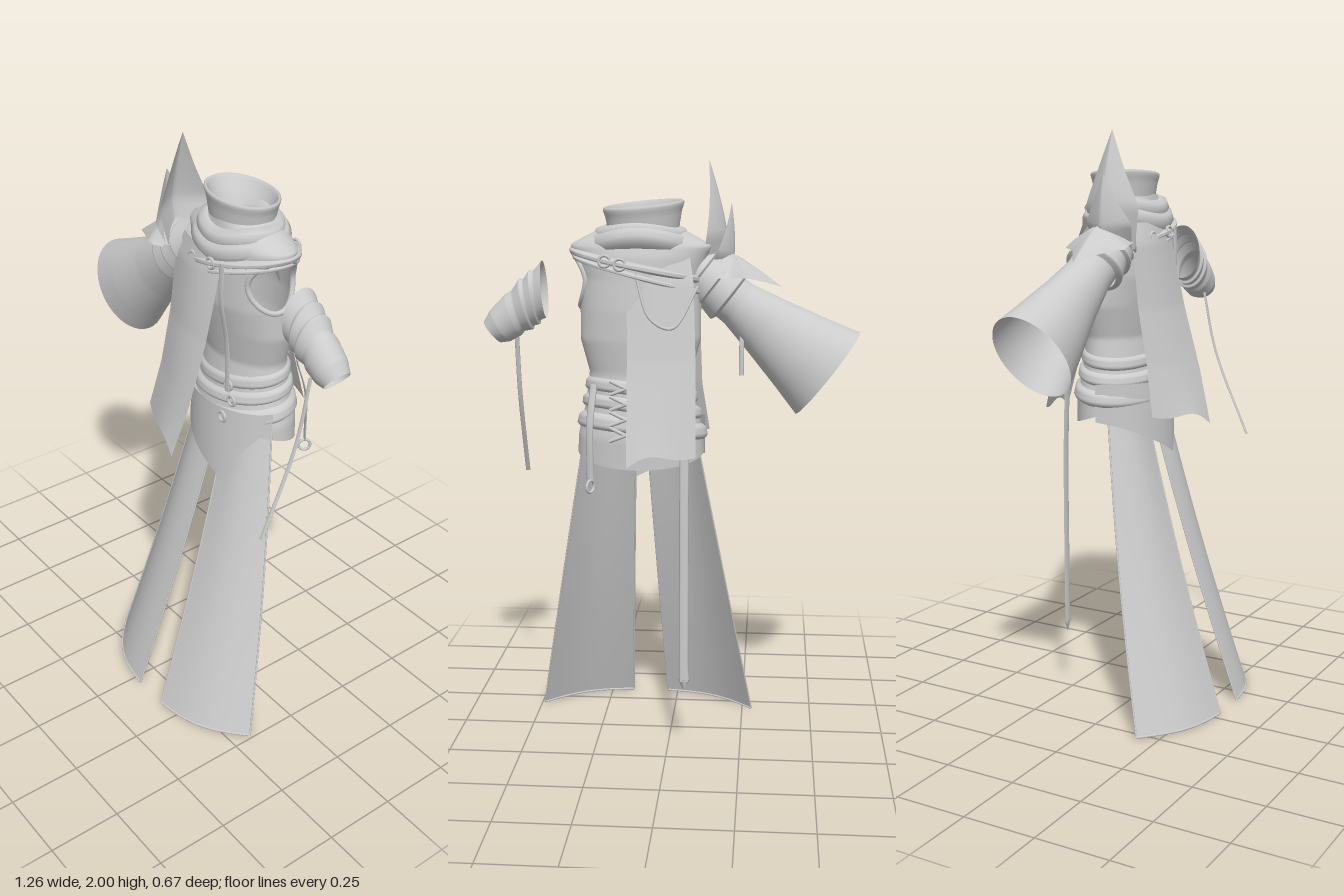
import * as THREE from 'three';
import { mergeVertices } from 'three/addons/utils/BufferGeometryUtils.js';
import { ParametricGeometry } from 'three/addons/geometries/ParametricGeometry.js';

const { lerp } = THREE.MathUtils;
const V = (x, y, z) => new THREE.Vector3(x, y, z);
const cloth = new THREE.MeshStandardMaterial({ color: 0xcccccc, side: THREE.DoubleSide });
const CX = 0.095, TAU = Math.PI * 2;

// linear lookup in rows [key, a, b, ...] sorted by rising key
function sample(rows, k) {
  let i = 0;
  while (i < rows.length - 2 && k > rows[i + 1][0]) i++;
  const a = rows[i], b = rows[i + 1];
  const t = THREE.MathUtils.clamp((k - a[0]) / (b[0] - a[0]), 0, 1);
  return a.map((q, j) => lerp(q, b[j], t));
}

// torso outline: y, half width, z centre, half depth
const BODY = [
  [1.0, 0.215, -0.085, 0.14], [1.1, 0.21, -0.085, 0.142], [1.2, 0.185, -0.088, 0.12],
  [1.31, 0.17, -0.09, 0.105], [1.42, 0.2, -0.085, 0.12], [1.52, 0.2, -0.075, 0.13],
  [1.62, 0.2, -0.07, 0.125], [1.69, 0.22, -0.07, 0.12], [1.725, 0.235, -0.068, 0.11],
  [1.75, 0.19, -0.067, 0.1], [1.79, 0.11, -0.065, 0.09],
];
function onBody(y, ang, off = 0) {
  const [, rx, cz, rz] = sample(BODY, y);
  return V(CX + (rx + off) * Math.cos(ang), y, cz + (rz + off) * Math.sin(ang));
}
function frontZ(x, y, off = 0, side = 1) {
  const [, rx, cz, rz] = sample(BODY, y);
  const k = Math.min(1, Math.abs((x - CX) / rx));
  return cz + side * (rz * Math.sqrt(1 - k * k) + off);
}

export function createModel() {
  const group = new THREE.Group();
  const add = (name, geo) => {
    const mesh = new THREE.Mesh(geo, cloth);
    mesh.name = name;
    group.add(mesh);
    return mesh;
  };
  // smooth surface from a rule (u, v) -> point
  const sheet = (name, nu, nv, rule) => {
    const raw = new ParametricGeometry((u, v, t) => t.copy(rule(u, v)), nu, nv);
    raw.deleteAttribute('uv');
    raw.deleteAttribute('normal');
    const geo = mergeVertices(raw, 1e-5);
    geo.computeVertexNormals();
    return add(name, geo);
  };
  const cord = (name, pts, r, closed = false) =>
    add(name, new THREE.TubeGeometry(new THREE.CatmullRomCurve3(pts, closed), 48, r, 8, closed));
  // flat strap with a thin oval section
  const strap = (name, pts, across) => {
    const path = new THREE.CatmullRomCurve3(pts);
    return sheet(name, 8, 24, (u, v) => path.getPoint(v)
      .addScaledVector(across, 0.5 * Math.cos(u * TAU)).add(V(0, 0, 0.003 * Math.sin(u * TAU))));
  };
  const ring = (name, p, r, tube, yaw = 0) => {
    const m = add(name, new THREE.TorusGeometry(r, tube, 8, 20));
    m.position.copy(p);
    m.rotation.y = yaw;
  };
  // sleeve along an axis in the xy plane; rows: t, in-plane radius, z radius; skew slants the first rim
  const sleeve = (name, a, b, rows, skew = 0) => {
    const d = b.clone().sub(a).normalize(), e = V(-d.y, d.x, 0);
    return sheet(name, 40, 60, (u, v) => {
      const [, re, rz] = sample(rows, v), g = u * TAU;
      return a.clone().lerp(b, v).addScaledVector(e, re * Math.cos(g))
        .addScaledVector(d, -skew * (1 - v) * Math.cos(g)).add(V(0, 0, rz * Math.sin(g)));
    });
  };

  // vest with the open armhole on the left
  const vest = sheet('vest', 112, 72, (u, v) => {
    const g = -u * TAU;
    return onBody(lerp(1.045 + 0.045 * Math.sin(g), 1.79, v), g);
  });
  const pos = vest.geometry.attributes.position, keep = [], idx = vest.geometry.index.array;
  const inHole = (i) => pos.getX(i) > 0.2 &&
    ((pos.getZ(i) + 0.055) / 0.075) ** 2 + ((pos.getY(i) - 1.615) / 0.095) ** 2 < 1;
  for (let i = 0; i < idx.length; i += 3) {
    const tri = [idx[i], idx[i + 1], idx[i + 2]];
    if (!tri.every(inHole)) keep.push(...tri);
  }
  vest.geometry.setIndex(keep);
  const rim = [];
  for (let i = 0; i < 32; i++) {
    const g = i / 32 * TAU, y = 1.615 + 0.095 * Math.sin(g), z = -0.055 + 0.075 * Math.cos(g);
    const [, rx, cz, rz] = sample(BODY, y);
    rim.push(V(CX + rx * Math.sqrt(1 - ((z - cz) / rz) ** 2), y, z));
  }
  cord('armholeRim', rim, 0.009, true);

  // standing collar with an inner wall, and the folded cowl below it
  const COLLAR = [[0, 1.73, 0.125, 0.105], [0.2, 1.78, 0.117, 0.097], [0.42, 1.835, 0.125, 0.105],
    [0.52, 1.867, 0.135, 0.113], [0.58, 1.873, 0.126, 0.104], [0.8, 1.82, 0.1, 0.083], [1, 1.75, 0.072, 0.058]];
  sheet('collar', 48, 30, (u, v) => {
    const [, y, rx, rz] = sample(COLLAR, v), g = -u * TAU;
    const inner = Math.max(0, v - 0.58) / 0.42;
    return V(0.085 + 0.012 * inner + rx * Math.cos(g),
      y - 0.012 * (1 + Math.cos(g) - 0.6 * Math.sin(g)) * Math.min(1, v * 2),
      -0.073 + 0.01 * inner + rz * Math.sin(g));
  });
  const cowl = (rx, rz, y, drop) => Array.from({ length: 24 }, (_, i) => {
    const g = i / 24 * TAU;
    return V(CX + rx * Math.cos(g), y - drop * Math.sin(g) + 0.006 * Math.sin(3 * g), -0.062 + rz * Math.sin(g));
  });
  cord('cowlUpperFold', cowl(0.125, 0.095, 1.755, 0.012), 0.033, true);
  cord('cowlLowerFold', cowl(0.14, 0.105, 1.725, 0.022), 0.038, true);

  // wrapped belts follow the body with a rounded section, pulled tight at the sides
  const belt = (name, yAt, h, off, sideSlack = 1) => sheet(name, 72, 8, (u, v) => {
    const g = -u * TAU, o = off * lerp(1, sideSlack, Math.cos(g) ** 2);
    return onBody(yAt(g) + (v - 0.5) * h, g, o * Math.min(1, 5 * Math.min(v, 1 - v)) - 0.001);
  });
  [[1.25, 0.045, 0.01], [1.195, 0.045, 0.013], [1.13, 0.055, 0.015]].forEach(([y, h, o], i) =>
    belt('waistBelt' + (i + 1), (g) => y + 0.02 * Math.cos(g) - 0.016 * Math.sin(g), h, o));
  belt('chestHarness', (g) => 1.66 + 0.045 * Math.cos(g), 0.026, 0.032, 0.3);
  belt('chestHarnessLower', (g) => 1.63 + 0.055 * Math.cos(g), 0.018, 0.026, 0.3);

  // buckles on the belts and harness
  [[0.17, 1.24], [0.19, 1.19], [0.17, 1.13], [0.02, 1.65], [0.12, 1.665]].forEach(([x, y]) =>
    ring('buckle', V(x, y, frontZ(x, y, 0.026)), 0.017, 0.005));
  [[0.2, 1.68], [0.15, 1.67]].forEach(([x, y]) => ring('backBuckle', V(x, y, frontZ(x, y, 0.026, -1)), 0.018, 0.005));

  // front and back tabards, flaring away from the body
  const tabard = (name, side, rows) => sheet(name, 20, 40, (u, v) => {
    const [, xl, xr, zl, zr, yl, yr] = sample(rows, v);
    const wave = v ** 6 * (0.02 * Math.sin(u * Math.PI) - 0.012 * Math.sin(u * TAU));
    return V(lerp(xl, xr, u), lerp(yl, yr, u) + wave,
      lerp(zl, zr, u) + side * 0.022 * Math.sin(u * Math.PI) * (1 - 0.6 * v));
  });
  tabard('frontTabard', 1, [
    [0, -0.07, 0.155, 0.035, 0.05, 1.7, 1.7], [0.1, -0.09, 0.155, 0.055, 0.07, 1.63, 1.63],
    [0.45, -0.095, 0.155, 0.08, 0.122, 1.42, 1.41], [0.75, -0.1, 0.15, 0.115, 0.185, 1.24, 1.2],
    [1, -0.125, 0.125, 0.15, 0.24, 1.07, 1.015]]);
  tabard('backTabard', -1, [
    [0, -0.07, 0.13, -0.145, -0.155, 1.7, 1.7], [0.15, -0.085, 0.13, -0.172, -0.182, 1.61, 1.61],
    [0.55, -0.095, 0.125, -0.215, -0.24, 1.36, 1.36], [1, -0.1, 0.12, -0.285, -0.335, 1.06, 1.03]]);

  // pointed apron under the belts
  sheet('apronFlap', 24, 12, (u, v) => {
    const x = lerp(-0.12, 0.3, u), peak = u < 0.667 ? u / 0.667 : (1 - u) / 0.333;
    const hem = u < 0.667 ? lerp(1.03, 0.895, peak) : lerp(1.1, 0.895, peak);
    return V(x, lerp(1.16, hem, v), frontZ(x, 1.1, 0.012) + 0.014 * peak * v);
  });

  // two long skirt panels, mirrored about the body
  for (const s of [-1, 1]) {
    const edge = (u, v) => {
      const bow = Math.sin(u * Math.PI) * lerp(0.025, 0.035, v);
      return V(CX + 0.008 + s * (lerp(lerp(0.018, 0.19, u), lerp(0.066, 0.387, u), v) + bow * 0.4),
        lerp(1.09, 0.008, v), lerp(0.335 * v, -0.045 + 0.225 * v, u) + bow - 0.012 * Math.sin(v * Math.PI));
    };
    const side = s > 0 ? 'left' : 'right';
    sheet(side + 'SkirtPanel', 20, 30, edge);
    const trim = [];
    for (let i = 0; i <= 12; i++) trim.push(edge(i / 12, 1));
    cord(side + 'SkirtHem', trim, 0.004);
    [0, 1].forEach((u) => cord(side + 'SkirtEdge', [0, 0.25, 0.5, 0.75, 1].map((v) => edge(u, v)), 0.003));
  }

  // wide bell sleeve on the right arm
  sleeve('bellSleeve', V(-0.13, 1.605, -0.03), V(-0.525, 1.305, -0.055),
    [[0, 0.075, 0.08], [0.25, 0.08, 0.078], [0.5, 0.108, 0.09], [0.8, 0.145, 0.115], [1, 0.172, 0.127]]);
  sleeve('shoulderBands', V(-0.06, 1.66, -0.03), V(-0.2, 1.55, -0.03),
    [[0, 0.06, 0.08], [0.28, 0.088, 0.1], [0.3, 0.078, 0.09], [0.6, 0.095, 0.103], [0.62, 0.082, 0.09],
      [0.95, 0.096, 0.1], [1, 0.08, 0.08]]);

  // overlapping leaf-shaped shoulder plates with a raised ridge
  const plate = (name, base, tip, half, out, bend) => sheet(name, 16, 20, (u, v) => {
    const c = 2 * u - 1;
    const w = half * sample([[0, 0.75], [0.36, 1], [0.65, 0.52], [1, 0]], v)[1];
    return base.clone().lerp(tip, v).add(V(0, 0, c * w))
      .addScaledVector(out, (1 - Math.abs(c)) * w * 0.45 + bend * Math.sin(v * Math.PI) - 0.03 * (1 - v) * c * c);
  });
  plate('tallShoulderPlate', V(-0.13, 1.62, -0.005), V(-0.125, 2.0, 0), 0.1, V(-1, 0.1, 0), 0.015);
  plate('middleShoulderPlate', V(-0.14, 1.61, 0), V(-0.2, 1.86, 0.01), 0.085, V(-0.95, -0.2, 0), 0.015);
  plate('outerShoulderPlate', V(-0.1, 1.67, -0.015), V(-0.37, 1.585, 0), 0.105, V(-0.3, 0.95, 0), 0.01);
  plate('lowerShoulderPlate', V(-0.13, 1.65, -0.03), V(-0.31, 1.61, -0.02), 0.115, V(-0.2, 0.98, 0), 0.005);

  // separate left bracer with stepped plates and a slanted upper rim
  sleeve('leftBracer', V(0.425, 1.575, -0.03), V(0.603, 1.43, -0.03),
    [[0, 0.078, 0.07], [0.16, 0.07, 0.06], [0.18, 0.081, 0.07], [0.32, 0.07, 0.06], [0.34, 0.081, 0.07],
      [0.5, 0.066, 0.058], [0.6, 0.07, 0.062], [0.85, 0.062, 0.058], [1, 0.046, 0.046]], 0.055);

  // hanging straps
  const X = V(0.016, 0, 0);
  strap('bracerStrap', [V(0.53, 1.42, 0.01), V(0.532, 1.2, 0.06), V(0.535, 0.9, 0.19)], X);
  strap('longBackStrap', [V(-0.06, 1.2, -0.22), V(-0.06, 0.9, -0.23), V(-0.06, 0.27, -0.23)], V(0.032, 0, 0));
  const tip = add('longBackStrapTip', new THREE.ConeGeometry(0.02, 0.04, 4));
  tip.position.set(-0.06, 0.258, -0.23);
  tip.rotation.x = Math.PI;
  tip.scale.z = 0.2;
  strap('frontStrap', [1.68, 1.55, 1.4, 1.22].map((y) => V(0.172, y, frontZ(0.172, y, 0.03))), V(0.024, 0, 0));
  strap('shoulderTassel', [V(-0.24, 1.48, -0.08), V(-0.24, 1.4, -0.09), V(-0.24, 1.3, -0.09)], X);
  strap('hipStrap', [V(0.24, 1.28, -0.19), V(0.25, 1.15, -0.225), V(0.25, 0.97, -0.23)], V(0.025, 0, 0.012));
  ring('hipRing', V(0.25, 0.945, -0.23), 0.02, 0.005, Math.PI / 3);

  // crossed lacing and hanging cord on the back
  for (let i = 0; i < 4; i++) {
    const y = 1.12 + i * 0.05;
    for (const s of [-1, 1]) {
      cord('backLacing', [-1, 0, 1].map((k) => {
        const x = 0.13 + k * 0.055, yy = y + s * k * 0.022;
        return V(x, yy, frontZ(x, yy, 0.018, -1));
      }), 0.006);
    }
  }
  cord('backCord', [V(0.1, 1.64, -0.205), V(0.05, 1.5, -0.235), V(-0.02, 1.47, -0.235), V(-0.1, 1.6, -0.18)], 0.005);
  return group;
}
